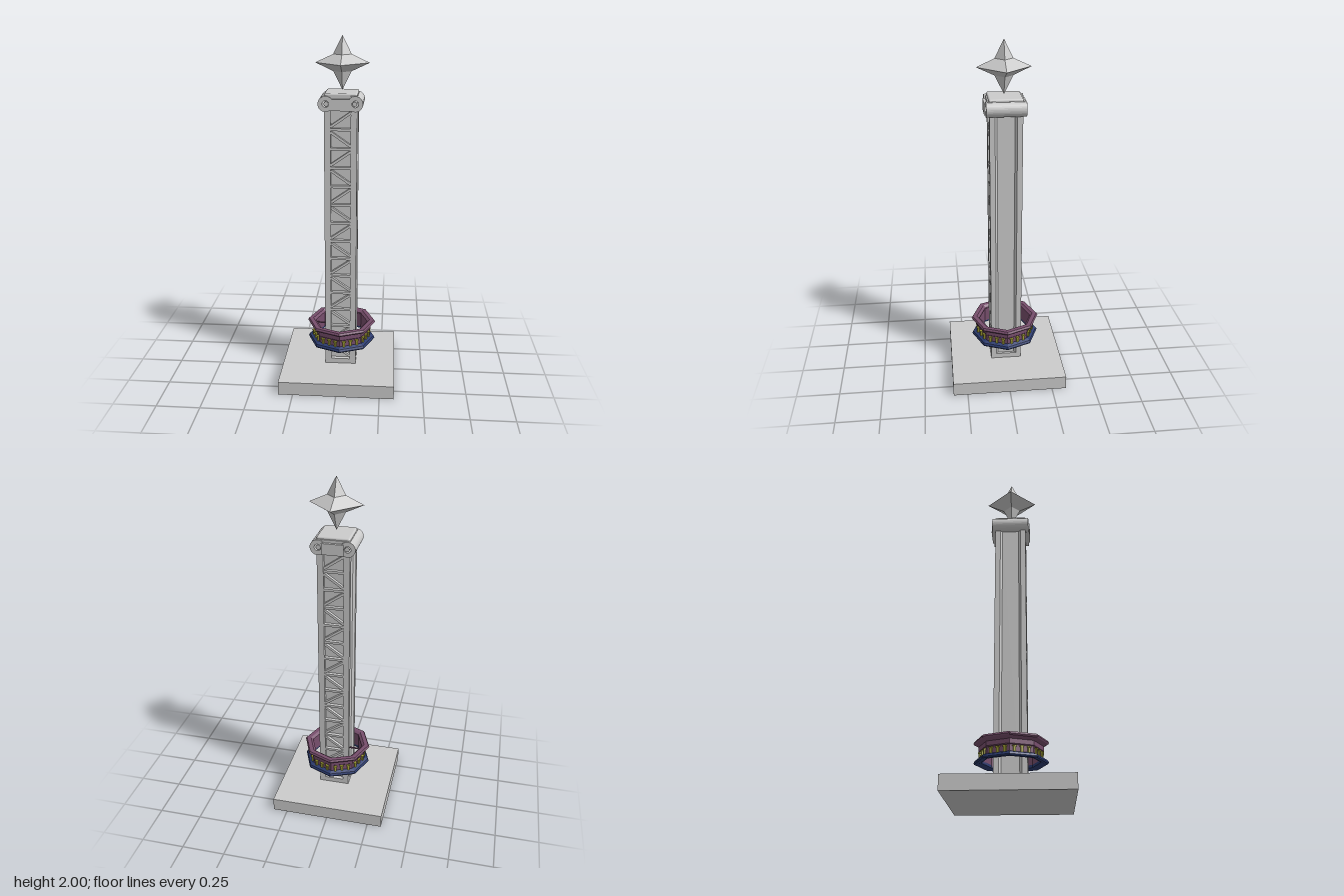
import * as THREE from 'three';
import { RoundedBoxGeometry } from 'three/addons/geometries/RoundedBoxGeometry.js';

const CX = 0.01; // the column stands slightly off the plinth's centre
const paint = (color, extra = {}) => new THREE.MeshStandardMaterial({ color, flatShading: true, ...extra });
const grey = paint(0xcccccc);
const smoothGrey = new THREE.MeshStandardMaterial({ color: 0xcccccc });
const purple = paint(0x774e6c);
const blue = paint(0x2c3c70);
const yellow = paint(0xa3a035);

function add(parent, name, geometry, material, x = 0, y = 0, z = 0) {
  const mesh = new THREE.Mesh(geometry, material);
  mesh.name = name;
  mesh.position.set(x, y, z);
  parent.add(mesh);
  return mesh;
}

const box = (w, h, d) => new THREE.BoxGeometry(w, h, d);
const lathe = (points, sides) =>
  new THREE.LatheGeometry(points.map(([r, y]) => new THREE.Vector2(r, y)), sides);

// Square shaft: deep grooves front and back, shallow bevelled grooves on the sides
function buildColumn() {
  const column = new THREE.Group();
  column.name = 'column';
  const half = 0.09, low = 0.11, high = 1.612;

  const quarter = [[0.06, 0], [0.076, 0.048], [0.09, 0.06], [0.09, 0.09], [0.055, 0.09], [0.055, 0.066]];
  quarter[0] = [0.076, 0.048];
  quarter.splice(1, 1);
  const mirrored = (sx, sz, reverse) => {
    const corner = quarter.map(([x, z]) => new THREE.Vector2(x * sx, z * sz));
    return reverse ? corner.reverse() : corner;
  };
  const section = new THREE.Shape([
    ...mirrored(1, 1, false), ...mirrored(-1, 1, true),
    ...mirrored(-1, -1, false), ...mirrored(1, -1, true),
  ]);
  const shaft = new THREE.ExtrudeGeometry(section, { depth: high - low, bevelEnabled: false });
  shaft.rotateX(-Math.PI / 2);
  add(column, 'shaft', shaft, grey, 0, low, 0);
  add(column, 'shaftFoot', box(half * 2, 0.04, half * 2), grey, 0, 0.09, 0);

  // Lattice of rungs and alternating diagonals in the two deep grooves
  const panels = 14, step = (high - low) / panels, width = 0.11;
  for (const side of [1, -1]) {
    const lattice = new THREE.Group();
    lattice.name = side > 0 ? 'frontLattice' : 'backLattice';
    lattice.rotation.y = side > 0 ? 0 : Math.PI;
    column.add(lattice);
    for (let i = 0; i < panels; i++) {
      const y = low + i * step;
      if (i > 0) add(lattice, 'rung', box(width, 0.014, 0.02), grey, 0, y, 0.075);
      const brace = box(Math.hypot(width, step - 0.03), 0.014, 0.018);
      const diagonal = add(lattice, 'diagonal', brace, grey, 0, y + step / 2, 0.075);
      diagonal.rotation.z = Math.atan2(step - 0.03, width) * (i % 2 ? 1 : -1);
    }
  }
  return column;
}

// Scrolled capital with a flat cushion on top
function buildCapital() {
  const capital = new THREE.Group();
  capital.name = 'capital';
  const ring = new THREE.Shape().absarc(0, 0, 0.042, 0, Math.PI * 2);
  ring.holes.push(new THREE.Path().absarc(0, 0, 0.018, 0, Math.PI * 2, true));
  for (const side of [-1, 1]) {
    const scroll = new THREE.ExtrudeGeometry(ring, { depth: 0.216, bevelEnabled: false, curveSegments: 16 });
    add(capital, 'scroll', scroll, smoothGrey, side * 0.08, 1.648, -0.108);
    const core = new THREE.CylinderGeometry(0.013, 0.013, 0.212, 16).rotateX(Math.PI / 2);
    add(capital, 'scrollCore', core, smoothGrey, side * 0.077, 1.648, 0);
  }
  add(capital, 'capitalBlock', box(0.12, 0.062, 0.23), grey, 0, 1.643, 0);
  add(capital, 'cushionPlate', box(0.185, 0.016, 0.2), grey, 0, 1.682, 0);
  add(capital, 'cushion', new RoundedBoxGeometry(0.18, 0.026, 0.185, 3, 0.01), smoothGrey, 0, 1.69, 0);
  return capital;
}

// Eight-sided collar: flared rim, wall, lower rim and small posts
function buildCollar() {
  const collar = new THREE.Group();
  collar.name = 'collar';
  add(collar, 'upperRim', lathe([
    [0.155, 0.312], [0.172, 0.298], [0.198, 0.312], [0.203, 0.32],
    [0.196, 0.331], [0.17, 0.331], [0.155, 0.32], [0.155, 0.312],
  ], 8), purple);
  add(collar, 'wall', lathe([
    [0.158, 0.225], [0.17, 0.225], [0.17, 0.27], [0.175, 0.275], [0.175, 0.305], [0.158, 0.31], [0.158, 0.225],
  ], 8), purple);
  add(collar, 'lowerRim', lathe([
    [0.158, 0.215], [0.175, 0.207], [0.197, 0.207], [0.2, 0.214],
    [0.194, 0.226], [0.175, 0.234], [0.158, 0.23], [0.158, 0.215],
  ], 8), blue);

  const apothem = 0.17 * Math.cos(Math.PI / 8);
  for (let i = 0; i < 8; i++) {
    const facet = new THREE.Group();
    facet.name = 'collarFacet';
    facet.rotation.y = (i + 0.5) * Math.PI / 4;
    collar.add(facet);
    for (const x of [-0.04, 0, 0.04]) {
      add(facet, 'post', box(0.013, 0.034, 0.012), yellow, x, 0.247, apothem + 0.004);
      add(facet, 'postCap', box(0.021, 0.007, 0.016), yellow, x, 0.263, apothem + 0.004);
    }
  }
  add(collar, 'spoke', box(0.08, 0.008, 0.006), purple, -0.12, 0.3, -0.005);
  return collar;
}

export function createModel() {
  const model = new THREE.Group();
  model.name = 'monument';
  add(model, 'plinth', box(0.666, 0.08, 0.666), grey, 0, 0.04, 0);

  for (const part of [buildColumn(), buildCapital(), buildCollar()]) {
    part.position.x = CX;
    model.add(part);
  }

  // Floating four-armed star with points above and below
  const star = lathe([[0, -0.145], [0.05, -0.045], [0.147, 0], [0.05, 0.045], [0, 0.145]], 4);
  add(model, 'star', star, grey, 0.014, 1.855, 0.004);
  return model;
}
